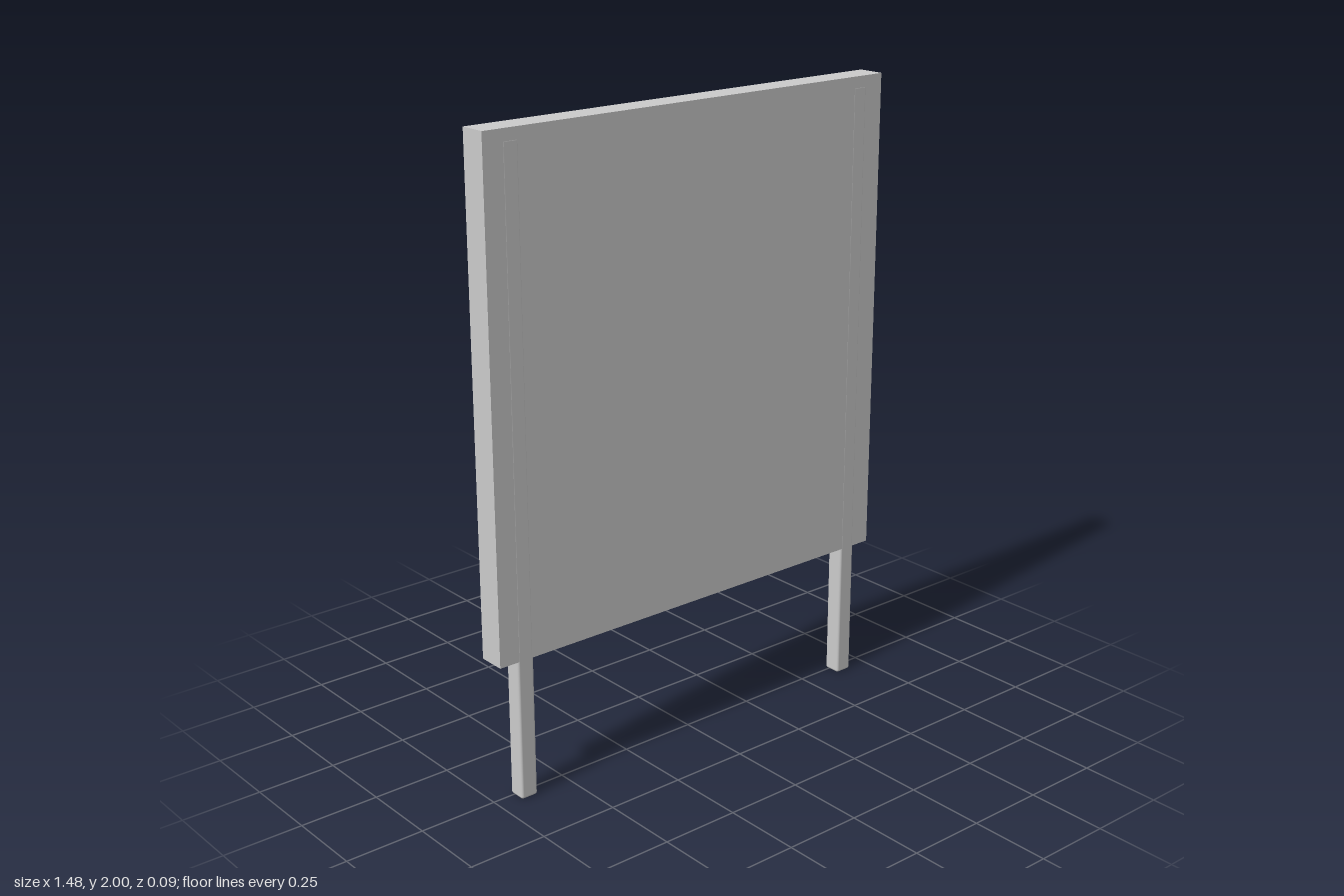
import * as THREE from 'three';
import { RoundedBoxGeometry } from 'three/addons/geometries/RoundedBoxGeometry.js';

export function createModel() {
  const group = new THREE.Group();
  const material = new THREE.MeshStandardMaterial({ color: 0xcccccc });

  // Flat upright board
  const bottom = 0.45, top = 2, depth = 0.087;
  const panel = new THREE.Mesh(new THREE.BoxGeometry(1.48, top - bottom, depth), material);
  panel.name = 'panel';
  panel.position.y = (bottom + top) / 2;
  group.add(panel);

  // Two softly rounded posts let into the front of the board
  const postWidth = 0.057, postHeight = 1.97;
  const postGeometry = new RoundedBoxGeometry(postWidth, postHeight, postWidth, 2, 0.008);
  for (const side of [-1, 1]) {
    const post = new THREE.Mesh(postGeometry, material);
    post.name = side > 0 ? 'leftPost' : 'rightPost';
    post.position.set(side * 0.65, postHeight / 2, depth / 2 - postWidth / 2 + 0.0005);
    group.add(post);
  }
  return group;
}
